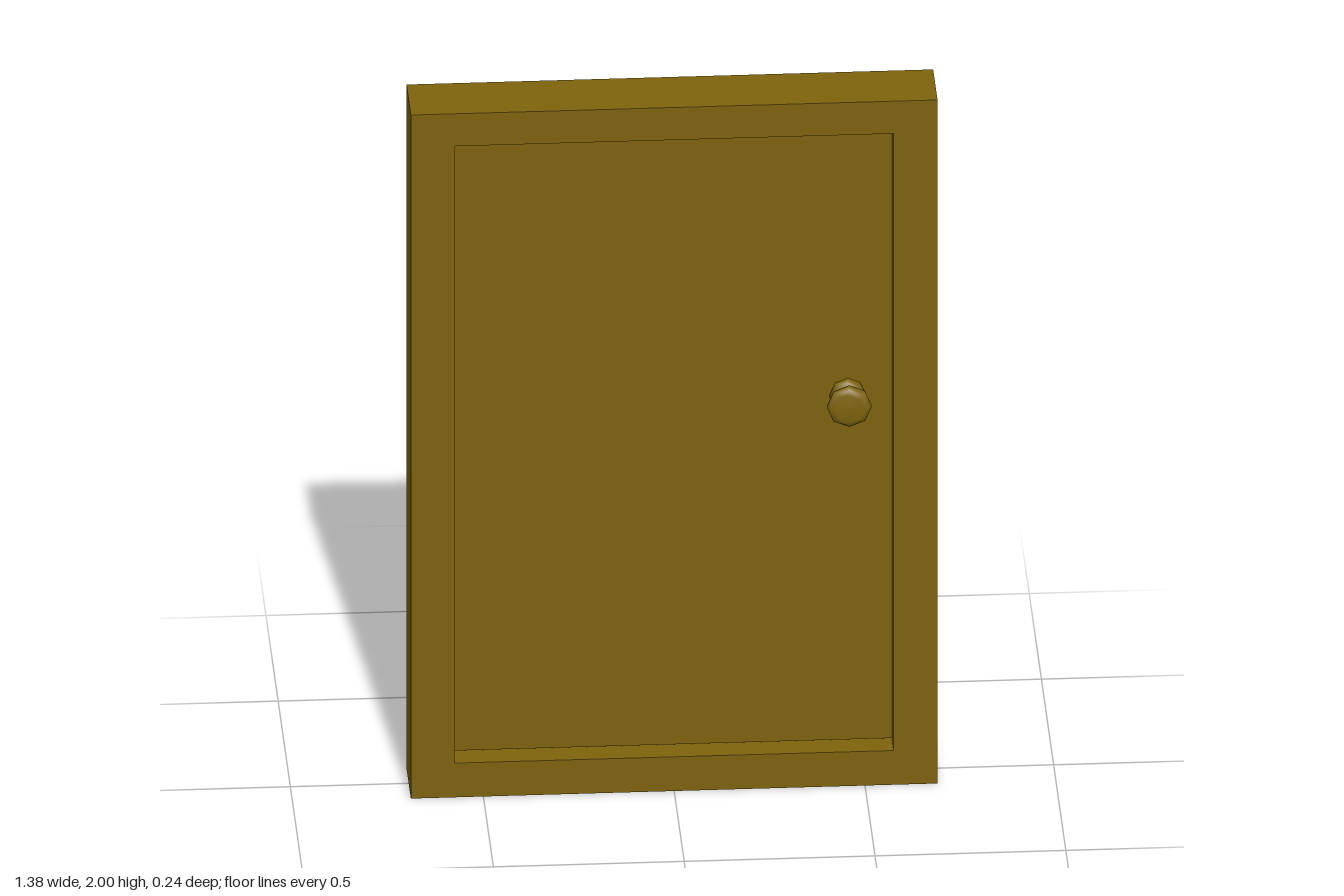
import * as THREE from 'three';

const W = 0.69, H = 2, D = 0.178;      // frame half width, height, depth
const IN_W = 0.575, IN_B = 0.1, IN_T = 1.905; // frame opening

function rect(Type, x, y0, y1) {
  const p = new Type();
  p.moveTo(-x, y0);
  p.lineTo(x, y0);
  p.lineTo(x, y1);
  p.lineTo(-x, y1);
  p.closePath();
  return p;
}

export function createModel() {
  const door = new THREE.Group();
  door.name = 'door';
  const wood = new THREE.MeshStandardMaterial({ color: 0x7d630d });

  const add = (name, geometry) => {
    const mesh = new THREE.Mesh(geometry, wood);
    mesh.name = name;
    door.add(mesh);
    return mesh;
  };

  // Surrounding frame with a rectangular opening
  const outline = rect(THREE.Shape, W, 0, H);
  outline.holes.push(rect(THREE.Path, IN_W, IN_B, IN_T));
  const frame = new THREE.ExtrudeGeometry(outline, { depth: D, bevelEnabled: false });
  add('frame', frame.translate(0, 0, -D / 2));

  // Recessed panel, with a hairline gap above and below
  const gap = 0.008;
  const panelH = IN_T - IN_B - 2 * gap;
  add('panel', new THREE.BoxGeometry(IN_W * 2, panelH, 0.064))
    .position.y = (IN_B + IN_T) / 2;

  // Eight-sided knob on each face: rounded base, narrow neck, flattened head
  const profile = [
    [0.046, 0.025], [0.048, 0.042], [0.042, 0.053], [0.026, 0.062],
    [0.026, 0.078], [0.046, 0.086], [0.058, 0.096], [0.059, 0.106],
    [0.052, 0.115], [0.038, 0.12], [0, 0.122],
  ].map(([r, z]) => new THREE.Vector2(r, z));
  const knob = new THREE.LatheGeometry(profile, 8).rotateX(Math.PI / 2);
  for (const [name, turn] of [['frontKnob', 0], ['backKnob', Math.PI]]) {
    const mesh = add(name, knob);
    mesh.position.set(0.458, 1.118, 0);
    mesh.rotation.y = turn;
  }

  return door;
}
